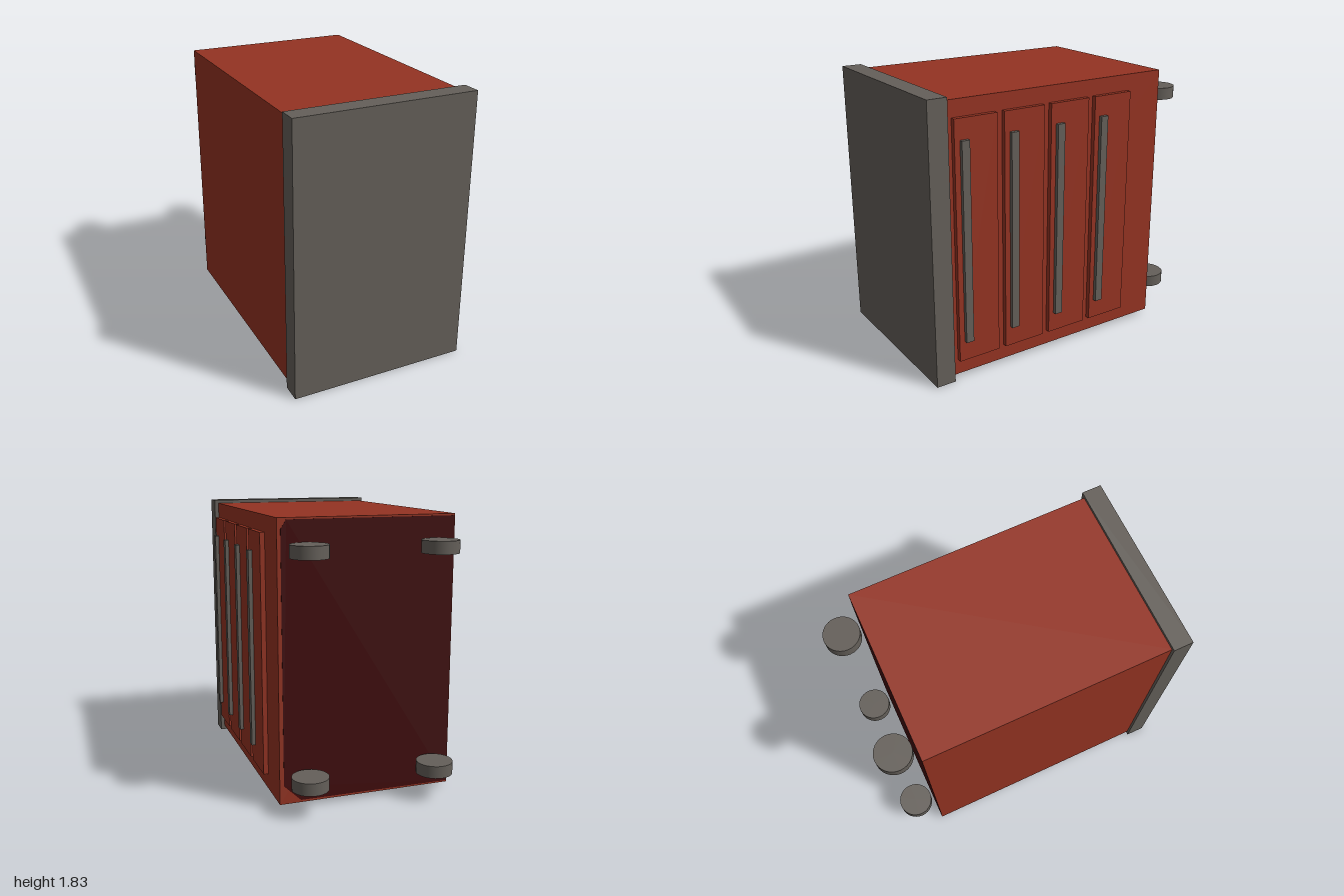
import * as THREE from 'three';

export function createModel() {
  const model = new THREE.Group();
  model.name = 'drawerCabinet';
  const mat = (name, color) => {
    const m = new THREE.MeshStandardMaterial({ color });
    m.name = name;
    return m;
  };
  const red = mat('red wood', 0x943322);
  const darkRed = mat('dark red backing', 0x400b0c);
  const grey = mat('warm grey', 0x645f59);

  const add = (name, geometry, material) => {
    const mesh = new THREE.Mesh(geometry, material);
    mesh.name = name;
    model.add(mesh);
    return mesh;
  };
  // Box given by its extents along each axis
  const box = (name, material, [x0, x1], [y0, y1], [z0, z1]) =>
    add(name, new THREE.BoxGeometry(x1 - x0, y1 - y0, z1 - z0), material)
      .position.set((x0 + x1) / 2, (y0 + y1) / 2, (z0 + z1) / 2);

  // Cabinet body and the overhanging slab
  box('body', red, [-0.596, 0.557], [0.03, 1.807], [-0.75, 0.872]);
  box('slab', grey, [-0.615, 0.585], [0, 1.83], [0.87, 1]);

  // Dark backing, leaving a narrow rim with clipped corners
  const outline = new THREE.Shape([
    [-0.592, 0.04], [0.42, 0.045], [0.53, 0.15], [0.535, 1.74], [0.5, 1.795], [-0.592, 1.795],
  ].map(([x, y]) => new THREE.Vector2(x, y)));
  const backing = new THREE.ExtrudeGeometry(outline, { depth: 0.003, bevelEnabled: false });
  add('backing', backing, darkRed).position.z = -0.752;

  // Four drawer fronts, each with a long handle
  for (let i = 0; i < 4; i++) {
    const z = 0.689 - i * 0.341;
    box('drawerFront', red, [0.55, 0.588], [0.132, 1.70], [z - 0.145, z + 0.145]);
    box('handle', grey, [0.586, 0.613], [0.265, 1.57], [z + 0.056, z + 0.109]);
  }

  // Four round feet, standing clear of the back
  for (const x of [-0.435, 0.4]) {
    for (const y of [0.21, 1.622]) {
      add('foot', new THREE.CylinderGeometry(0.117, 0.117, 0.08, 32), grey).position.set(x, y, -0.883);
    }
  }
  return model;
}
